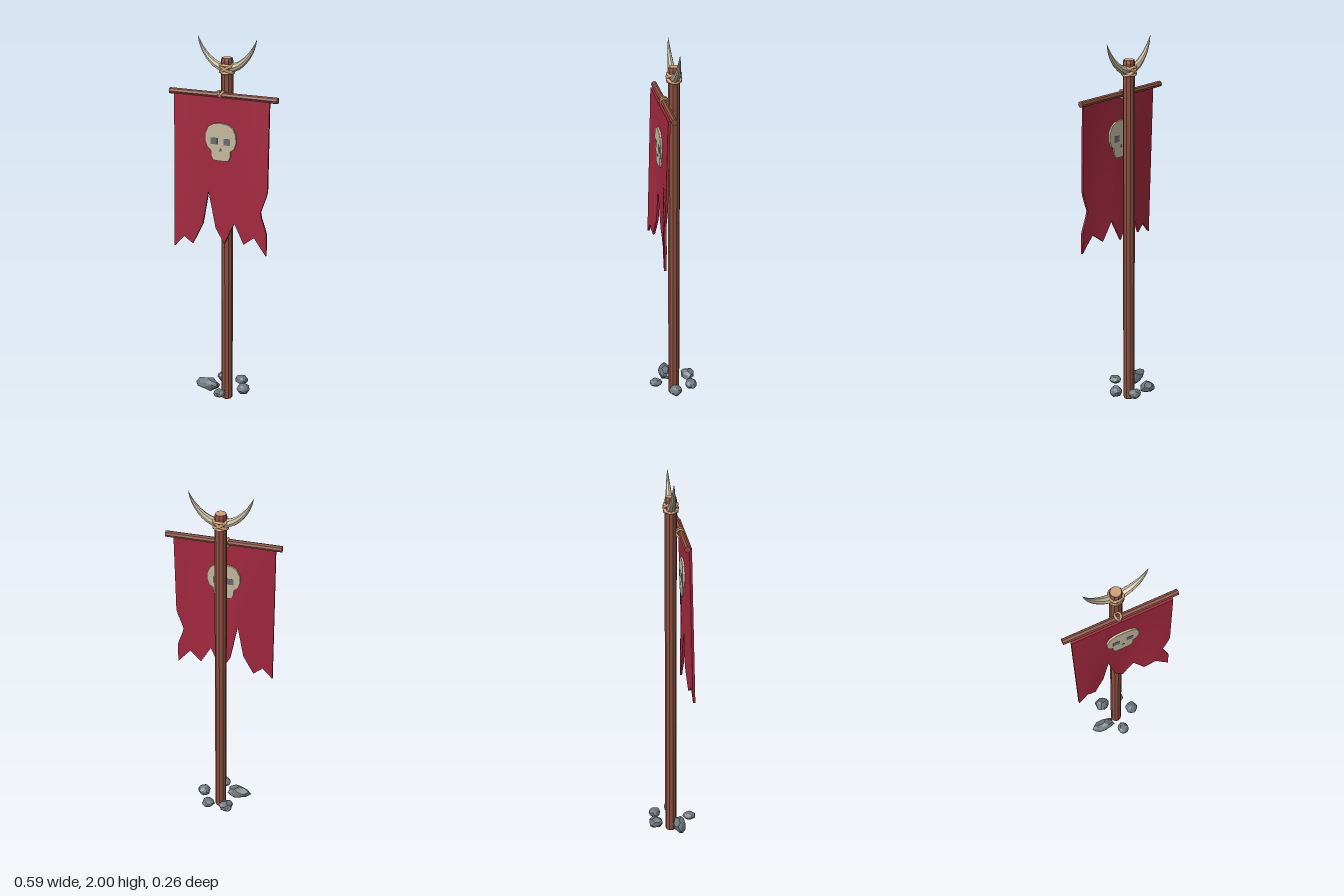
import * as THREE from 'three';

const mat = (name, color, extra = {}) => {
  const m = new THREE.MeshStandardMaterial({ color, ...extra });
  m.name = name;
  return m;
};

export function createModel() {
  const wood = mat('wood', 0x8c5040, { flatShading: true });
  const rope = mat('rope and cut wood', 0xcfa078);
  const cloth = mat('red cloth', 0xa4293f, { side: THREE.DoubleSide });
  const bone = mat('bone', 0xc6b99f, { flatShading: true });
  const socket = mat('eye socket', 0x6b6c6e);
  const stone = mat('stone', 0x6c777d, { flatShading: true });

  const root = new THREE.Group();
  root.name = 'warBanner';
  const add = (name, geo, material, x = 0, y = 0, z = 0) => {
    const m = new THREE.Mesh(geo, material);
    m.name = name;
    m.position.set(x, y, z);
    root.add(m);
    return m;
  };
  const PZ = -0.007;

  // Pole with pale cut ends
  const pole = [[0.028, 0], [0.031, 0.008], [0.031, 1.885], [0.027, 1.9]];
  add('pole', new THREE.LatheGeometry(pole.map(p => new THREE.Vector2(...p)), 10), wood, 0, 0, PZ);
  add('poleTop', new THREE.CircleGeometry(0.027, 10), rope, 0, 1.9, PZ).rotation.x = -Math.PI / 2;
  add('poleBottom', new THREE.CircleGeometry(0.028, 10), rope, 0, 0, PZ).rotation.x = Math.PI / 2;

  // Crossbar
  const bar = new THREE.CylinderGeometry(0.016, 0.016, 0.59, 8);
  add('crossbar', bar, wood, 0, 1.718, 0.044).rotation.z = Math.PI / 2;

  // Cloth: columns hang from the bar down to a ragged hem
  const hem = [[-0.26, 0.893], [-0.206, 0.955], [-0.159, 0.918], [-0.106, 1.03], [-0.074, 1.214],
    [-0.037, 1.013], [0.01, 0.93], [0.07, 1.055], [0.127, 0.95], [0.19, 1.0], [0.26, 0.913]];
  const drape = (x, y) => {
    const t = (1.71 - y) / 0.8;
    return 0.063 + t * (0.019 * (1 - Math.cos(Math.PI * x / 0.26)) - 0.015);
  };
  const cols = [];
  hem.forEach(([x, y], i) => {
    if (i) cols.push([(x + hem[i - 1][0]) / 2, (y + hem[i - 1][1]) / 2]);
    cols.push([x, y]);
  });
  const rows = 28, pos = [], idx = [], n = cols.length, half = n * (rows + 1);
  for (const side of [0.006, -0.006]) {
    for (const [cx, bottom] of cols) {
      for (let r = 0; r <= rows; r++) {
        const y = 1.712 + (bottom - 1.712) * r / rows;
        // Torn notch in the left edge
        const tear = 0.038 * Math.max(0, y > 1.135 ? 1 - (y - 1.135) / 0.111 : 1 - (1.135 - y) / 0.105);
        const x = cx - tear * Math.max(0, (cx - 0.16) / 0.1);
        pos.push(x, y, drape(x, y) + side);
      }
    }
  }
  const at = (c, r) => c * (rows + 1) + r;
  const quad = (a, b, c, d) => idx.push(a, b, c, a, c, d);
  for (let c = 0; c < n - 1; c++) {
    for (let r = 0; r < rows; r++) {
      const q = [at(c, r), at(c, r + 1), at(c + 1, r + 1), at(c + 1, r)];
      quad(...q);
      quad(...q.reverse().map(i => i + half));
    }
  }
  const clothGeo = new THREE.BufferGeometry();
  clothGeo.setAttribute('position', new THREE.Float32BufferAttribute(pos, 3));
  clothGeo.setIndex(idx);
  clothGeo.computeVertexNormals();
  add('bannerCloth', clothGeo, cloth);

  // Closed rim between the front and back of the cloth
  const rim = [];
  for (let c = 0; c < n; c++) rim.push(at(c, 0));
  for (let r = 1; r <= rows; r++) rim.push(at(n - 1, r));
  for (let c = n - 2; c >= 0; c--) rim.push(at(c, rows));
  for (let r = rows - 1; r > 0; r--) rim.push(at(0, r));
  const rimIdx = [];
  rim.forEach((a, i) => {
    const b = rim[(i + 1) % rim.length];
    rimIdx.push(a, b, b + half, a, b + half, a + half);
  });
  const rimGeo = new THREE.BufferGeometry();
  rimGeo.setAttribute('position', new THREE.Float32BufferAttribute(pos, 3));
  rimGeo.setIndex(rimIdx);
  const rimFlat = rimGeo.toNonIndexed();
  rimFlat.computeVertexNormals();
  add('bannerEdge', rimFlat, cloth);

  // Skull emblem, showing on both faces of the cloth
  const right = [[0, 1.582], [0.04, 1.577], [0.068, 1.56], [0.084, 1.525], [0.085, 1.485], [0.074, 1.455],
    [0.054, 1.44], [0.052, 1.41], [0.042, 1.388], [0.014, 1.386]];
  const outline = [...right, ...right.slice(1).reverse().map(([x, y]) => [-x, y])];
  const skullShape = new THREE.Shape(outline.map(p => new THREE.Vector2(...p)));
  const skullDepth = 0.032, skullZ = 0.045;
  add('skullEmblem', new THREE.ExtrudeGeometry(skullShape, { depth: skullDepth, bevelEnabled: false }), bone, 0, 0, skullZ);
  const nose = new THREE.Shape([[-0.009, 1.437], [0.009, 1.437], [0, 1.458]].map(p => new THREE.Vector2(...p)));
  for (const z of [skullZ - 0.001, skullZ + skullDepth - 0.001]) {
    for (const s of [-1, 1]) {
      add('skullEye', new THREE.BoxGeometry(0.036, 0.034, 0.002), socket, s * 0.035, 1.488, z + 0.001);
    }
    add('skullNose', new THREE.ExtrudeGeometry(nose, { depth: 0.002, bevelEnabled: false }), socket, 0, 0, z);
  }

  // Horns: tapered rings swept along a curve
  const hornPath = new THREE.CatmullRomCurve3([[0.01, 1.845], [0.06, 1.862], [0.11, 1.905], [0.143, 1.955], [0.16, 2.0]]
    .map(([x, y]) => new THREE.Vector3(x, y, 0)));
  for (const s of [-1, 1]) {
    const seg = 8, sides = 8;
    const g = new THREE.TubeGeometry(hornPath, seg, 1, sides);
    const p = g.attributes.position, v = new THREE.Vector3();
    for (let i = 0; i < p.count; i++) {
      const t = Math.floor(i / (sides + 1)) / seg;
      const c = hornPath.getPointAt(t);
      v.fromBufferAttribute(p, i).sub(c).multiplyScalar(0.024 * Math.pow(1 - t, 0.8) + 0.0003).add(c);
      p.setXYZ(i, v.x, v.y, v.z);
    }
    g.computeVertexNormals();
    add(s > 0 ? 'leftHorn' : 'rightHorn', g, bone, 0, 0, PZ).rotation.y = s > 0 ? 0 : Math.PI;
  }

  // Rope lashings: slanted loops around the pole and the crossbar
  const loop = (name, point, radius) => {
    const pts = [];
    for (let i = 0; i < 12; i++) pts.push(point(i / 12 * Math.PI * 2));
    add(name, new THREE.TubeGeometry(new THREE.CatmullRomCurve3(pts, true), 24, radius, 6, true), rope);
  };
  for (const s of [-1, 1]) {
    loop('hornLashing', a => new THREE.Vector3(0.033 * Math.cos(a), 1.845 + s * 0.02 * Math.cos(a), PZ + 0.033 * Math.sin(a)), 0.008);
    loop('hornLashing', a => new THREE.Vector3(0.033 * Math.cos(a), 1.845 + s * 0.02 * Math.sin(a), PZ + 0.033 * Math.sin(a)), 0.007);
    loop('barLashing', a => new THREE.Vector3(-0.012 + s * 0.014 * Math.cos(a), 1.718 + 0.02 * Math.cos(a), 0.04 + 0.019 * Math.sin(a)), 0.006);
  }

  // Stones around the foot: centre then half sizes
  const stones = [
    [-0.098, 0.078, 0.03, 0.068, 0.038, 0.036],
    [0.1, 0.075, 0.0, 0.036, 0.031, 0.036],
    [0.0, 0.073, 0.095, 0.033, 0.022, 0.036],
    [-0.052, 0.075, -0.095, 0.043, 0.03, 0.04],
    [0.05, 0.075, -0.095, 0.037, 0.027, 0.034],
  ];
  stones.forEach(([x, y, z, sx, sy, sz], k) => {
    const g = new THREE.IcosahedronGeometry(1, 1);
    const p = g.attributes.position;
    for (let i = 0; i < p.count; i++) {
      const [a, b, c] = [p.getX(i), p.getY(i), p.getZ(i)];
      const f = 0.96 + 0.13 * Math.sin(a * 5 + k * 2.3) * Math.cos(b * 4 + c * 6 + k);
      p.setXYZ(i, a * f * sx, b * f * sy, c * f * sz);
    }
    g.computeVertexNormals();
    add('stone', g, stone, x, y, z);
  });

  return root;
}
